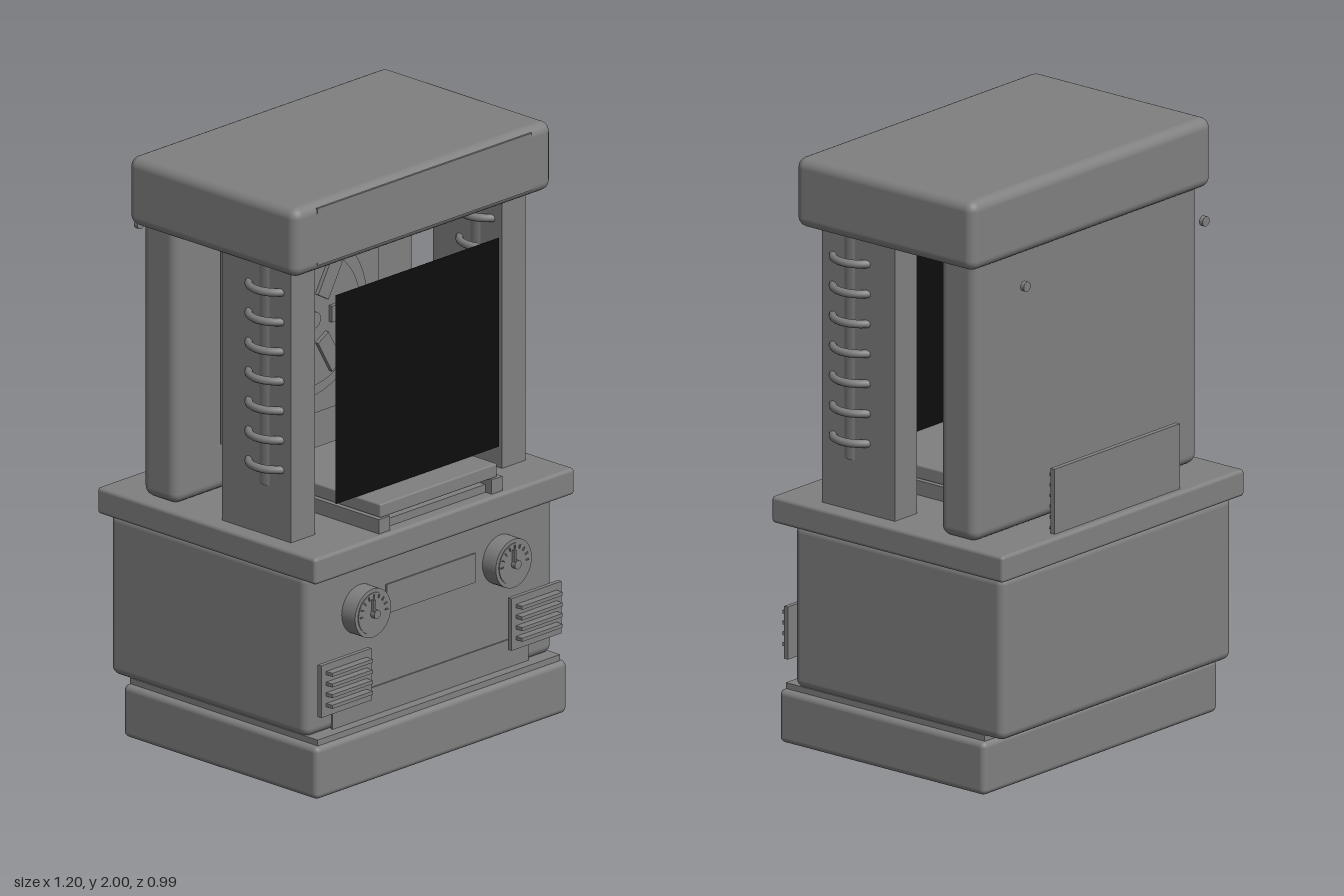
import * as THREE from 'three';
import { RoundedBoxGeometry } from 'three/addons/geometries/RoundedBoxGeometry.js';

export function createModel() {
  const model = new THREE.Group();
  model.name = 'arcadeCabinet';
  const grey = new THREE.MeshStandardMaterial({ color: 0x808080 });
  grey.name = 'grey';
  const black = new THREE.MeshStandardMaterial({ color: 0x0d0d0d, side: THREE.DoubleSide });
  black.name = 'black';

  const add = (name, geometry, x, y, z, parent = model, material = grey) => {
    const mesh = new THREE.Mesh(geometry, material);
    mesh.name = name;
    mesh.position.set(x, y, z);
    parent.add(mesh);
    return mesh;
  };
  // Box given by its extents on each axis, with an optional edge radius
  const box = (name, [x0, x1], [y0, y1], [z0, z1], radius = 0, parent = model) => {
    const size = [x1 - x0, y1 - y0, z1 - z0];
    const geometry = radius ? new RoundedBoxGeometry(...size, 4, radius) : new THREE.BoxGeometry(...size);
    return add(name, geometry, (x0 + x1) / 2, (y0 + y1) / 2, (z0 + z1) / 2, parent);
  };
  // Disc whose axis points forwards
  const disc = (name, r, x, y, [z0, z1], parent = model, sides = 40) => {
    const geometry = new THREE.CylinderGeometry(r, r, z1 - z0, sides).rotateX(Math.PI / 2);
    return add(name, geometry, x, y, (z0 + z1) / 2, parent);
  };

  // Cabinet shell
  box('base', [-0.58, 0.58], [0, 0.18], [-0.405, 0.465], 0.02);
  box('baseLip', [-0.56, 0.56], [0.17, 0.2], [-0.39, 0.45]);
  box('body', [-0.57, 0.57], [0.195, 0.75], [-0.475, 0.41], 0.03);
  box('counter', [-0.6, 0.6], [0.745, 0.835], [-0.5, 0.478], 0.012);
  box('backPanel', [-0.555, 0.555], [0.835, 1.8], [-0.345, -0.19], 0.035);
  box('roof', [-0.595, 0.595], [1.765, 2], [-0.37, 0.385], 0.035);
  box('marquee', [-0.495, 0.495], [1.79, 1.985], [0.38, 0.387]);

  // Front window
  add('screen', new THREE.PlaneGeometry(0.755, 0.715), -0.002, 1.293, 0.355, model, black);

  // Tray on the counter
  box('tray', [-0.27, 0.27], [0.883, 0.93], [-0.08, 0.45], 0.006);
  box('trayFloor', [-0.24, 0.24], [0.835, 0.862], [-0.1, 0.43]);

  // Pillars with coils, and the other mirrored parts
  for (const s of [-1, 1]) {
    const span = (a, b) => (s > 0 ? [a, b] : [-b, -a]);
    box('trayRail', span(0.235, 0.285), [0.835, 0.884], [-0.108, 0.458]);
    const pillar = new THREE.Group();
    pillar.name = s > 0 ? 'leftPillar' : 'rightPillar';
    model.add(pillar);
    box('post', span(0.432, 0.542), [0.835, 1.78], [0.005, 0.313], 0, pillar);
    add('tube', new THREE.CylinderGeometry(0.06, 0.06, 0.77, 24), s * 0.487, 1.39, 0.195, pillar);
    for (let i = 0; i < 7; i++) {
      const ring = new THREE.TorusGeometry(0.09, 0.0135, 10, 36).rotateX(Math.PI / 2);
      add('coilRing', ring, s * 0.487, 1.073 + i * 0.1012, 0.195, pillar);
    }

    // Speaker grille
    box('grille', span(0.323, 0.555), [0.277, 0.455], [0.445, 0.461]);
    for (let i = 0; i < 4; i++) {
      const y = 0.315 + i * 0.0365;
      box('grilleSlat', span(0.345, 0.532), [y - 0.006, y + 0.006], [0.455, 0.488]);
    }

    // Dial with tick marks and pointer
    const dial = new THREE.Group();
    dial.name = s > 0 ? 'leftDial' : 'rightDial';
    dial.position.set(s * 0.325, 0.578, 0);
    model.add(dial);
    disc('dialBody', 0.083, 0, 0, [0.4, 0.47], dial);
    disc('dialFace', 0.07, 0, 0, [0.465, 0.473], dial);
    for (let i = 0; i < 9; i++) {
      const a = Math.PI * i / 8;
      const tick = add('dialTick', new THREE.BoxGeometry(0.012, 0.004, 0.006),
        0.058 * Math.cos(a), 0.058 * Math.sin(a), 0.474, dial);
      tick.rotation.z = a;
    }
    box('pointer', [-0.012, -0.004], [-0.008, 0.05], [0.474, 0.486], 0, dial);
    disc('pointerHub', 0.015, 0, 0, [0.47, 0.49], dial, 20);

    disc('backScrew', 0.017, s * 0.443, 1.705, [-0.47, -0.455], model, 16);
  }

  // Front plates
  box('namePlate', [-0.205, 0.205], [0.53, 0.63], [0.408, 0.415]);
  box('kickPlate', [-0.455, 0.45], [0.198, 0.295], [0.408, 0.415]);

  // Wheel display inside the cabinet
  const wheel = new THREE.Group();
  wheel.name = 'wheelDisplay';
  model.add(wheel);
  box('backboard', [-0.358, 0.356], [1.0, 1.68], [-0.182, -0.166], 0, wheel);
  disc('wheelRim', 0.272, 0, 1.347, [-0.167, -0.136], wheel, 48);
  disc('wheelFace', 0.225, 0, 1.343, [-0.14, -0.12], wheel, 48);
  for (let i = 0; i < 6; i++) {
    const a = i * Math.PI / 3;
    const spoke = add('wheelSpoke', new THREE.BoxGeometry(0.13, 0.055, 0.016),
      0.145 * Math.cos(a), 1.348 + 0.145 * Math.sin(a), -0.114, wheel);
    spoke.rotation.z = a;
  }
  disc('wheelHub', 0.028, 0, 1.348, [-0.122, -0.106], wheel, 24);

  // Rear vent
  box('rearVent', [-0.31, 0.31], [0.835, 1.055], [-0.473, -0.455]);
  for (let i = 0; i < 6; i++) {
    const y = 0.843 + i * 0.036;
    box('rearVentSlat', [-0.285, 0.285], [y - 0.005, y + 0.005], [-0.457, -0.43]);
  }
  return model;
}
